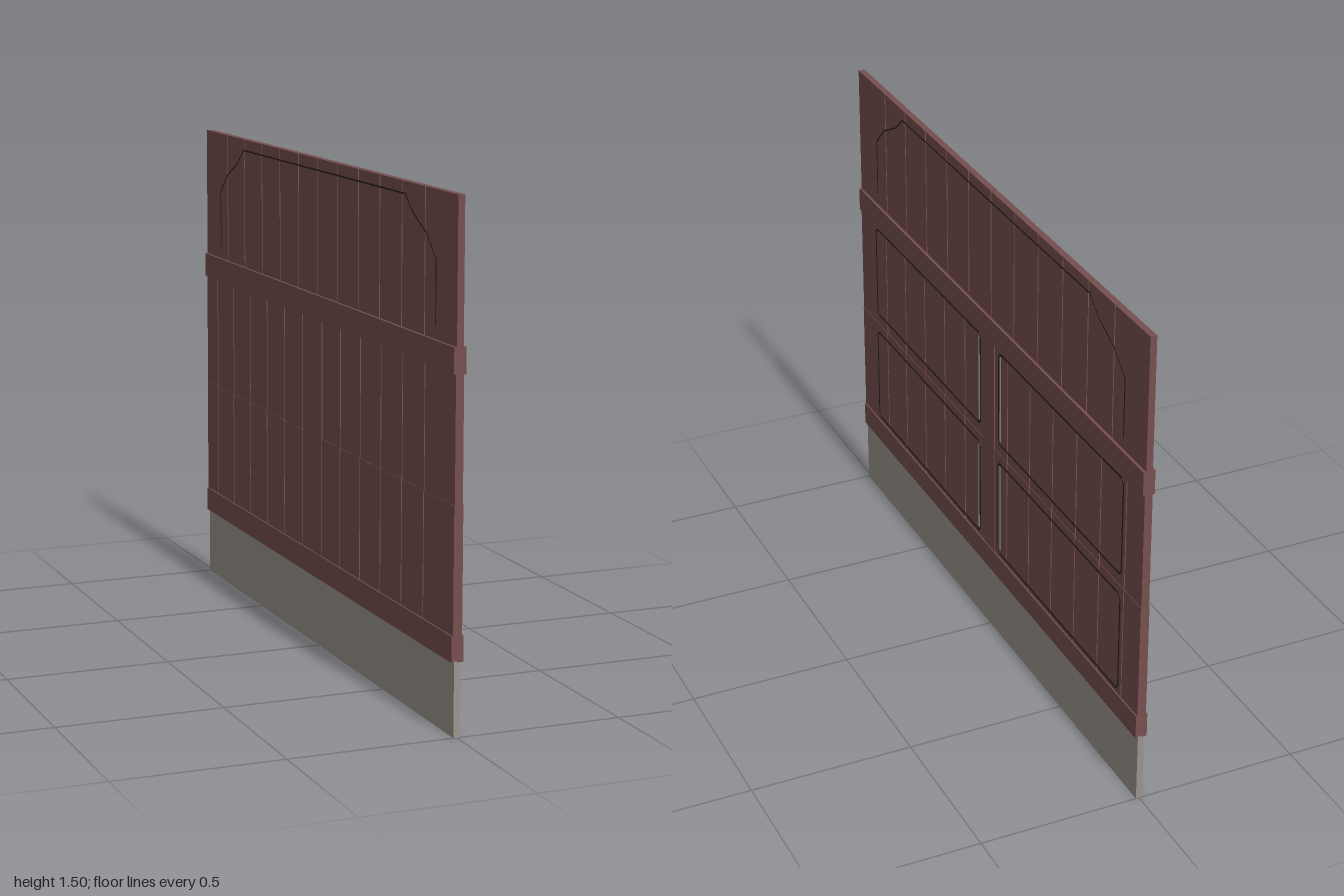
import * as THREE from 'three';

export function createModel() {
  const wall = new THREE.Group();
  wall.name = 'plankWall';
  const mat = (name, color) => new THREE.MeshStandardMaterial({ name, color });
  const wood = mat('redBrownWood', 0x764f4e);
  const stone = mat('greyBase', 0x9b948e);
  const dark = mat('darkSeam', 0x2a221e);

  // Box given by its limits on each axis
  function box(name, material, x0, x1, y0, y1, z0, z1, parent = wall) {
    const m = new THREE.Mesh(new THREE.BoxGeometry(x1 - x0, y1 - y0, z1 - z0), material);
    m.position.set((x0 + x1) / 2, (y0 + y1) / 2, (z0 + z1) / 2);
    m.name = name;
    parent.add(m);
  }

  // Row of boards separated by narrow gaps
  function planks(name, x0, x1, y0, y1, first, step) {
    const row = new THREE.Group();
    row.name = name;
    wall.add(row);
    const gap = 0.0025;
    let top = 1;
    for (let z = first; z > -0.95; z -= step) {
      box('plank', wood, x0, x1, y0, y1, z + gap, top, row);
      top = z - gap;
    }
    box('plank', wood, x0, x1, y0, y1, -1, top, row);
  }

  // Base, rails and centre stile
  box('baseBoard', stone, -0.01, 0.01, 0, 0.22, -1, 1);
  box('lowerRail', wood, -0.018, 0.018, 0.215, 0.29, -1, 1);
  box('upperRail', wood, -0.018, 0.018, 1.015, 1.09, -1, 1);
  box('centreStile', wood, -0.015, 0.015, 0.29, 1.015, -0.037, 0.037);

  // Boards
  planks('topPlanks', -0.01, 0.01, 1.09, 1.5, 0.785, 0.1583);
  planks('upperPlanks', -0.012, 0.012, 0.655, 1.015, 0.795, 0.1538);
  planks('lowerPlanks', -0.0135, 0.0135, 0.29, 0.655, 0.795, 0.1538);

  // Thin flat line between two (z, y) points, lying at depth x
  function seam(name, material, x, a, b, width, parent) {
    const dz = b[0] - a[0], dy = b[1] - a[1];
    const m = new THREE.Mesh(new THREE.BoxGeometry(0.002, width, Math.hypot(dz, dy)), material);
    m.position.set(x, (a[1] + b[1]) / 2, (a[0] + b[0]) / 2);
    m.rotation.x = -Math.atan2(dy, dz);
    m.name = name;
    parent.add(m);
  }

  // Panel outlines, with pale strips beside the stile
  for (const [y0, y1, x] of [[0.305, 0.625, 0.0135], [0.69, 1.0, 0.012]]) {
    for (const s of [1, -1]) {
      const panel = new THREE.Group();
      panel.name = 'panelOutline';
      wall.add(panel);
      const c = 0.012, zi = s * 0.066, zo = s * 0.877;
      const pts = [[zi + s * c, y0], [zo - s * c, y0], [zo, y0 + c], [zo, y1 - c],
        [zo - s * c, y1], [zi + s * c, y1], [zi, y1 - c], [zi, y0 + c]];
      pts.forEach((p, i) => seam('panelSeam', dark, x, p, pts[(i + 1) % pts.length], 0.006, panel));
      seam('paleStrip', stone, x, [s * 0.076, y0 + c], [s * 0.076, y1 - c], 0.01, panel);
    }
  }

  // Arched seam on both faces of the top boards
  const arch = [[0.86, 1.13], [0.86, 1.31], [0.8, 1.37], [0.7, 1.42], [0.65, 1.465],
    [-0.65, 1.465], [-0.7, 1.42], [-0.8, 1.37], [-0.865, 1.31], [-0.865, 1.13]];
  const archGroup = new THREE.Group();
  archGroup.name = 'archOutline';
  wall.add(archGroup);
  for (const x of [0.0095, -0.0095])
    for (let i = 0; i < arch.length - 1; i++)
      seam('archSeam', dark, x, arch[i], arch[i + 1], 0.005, archGroup);

  return wall;
}
